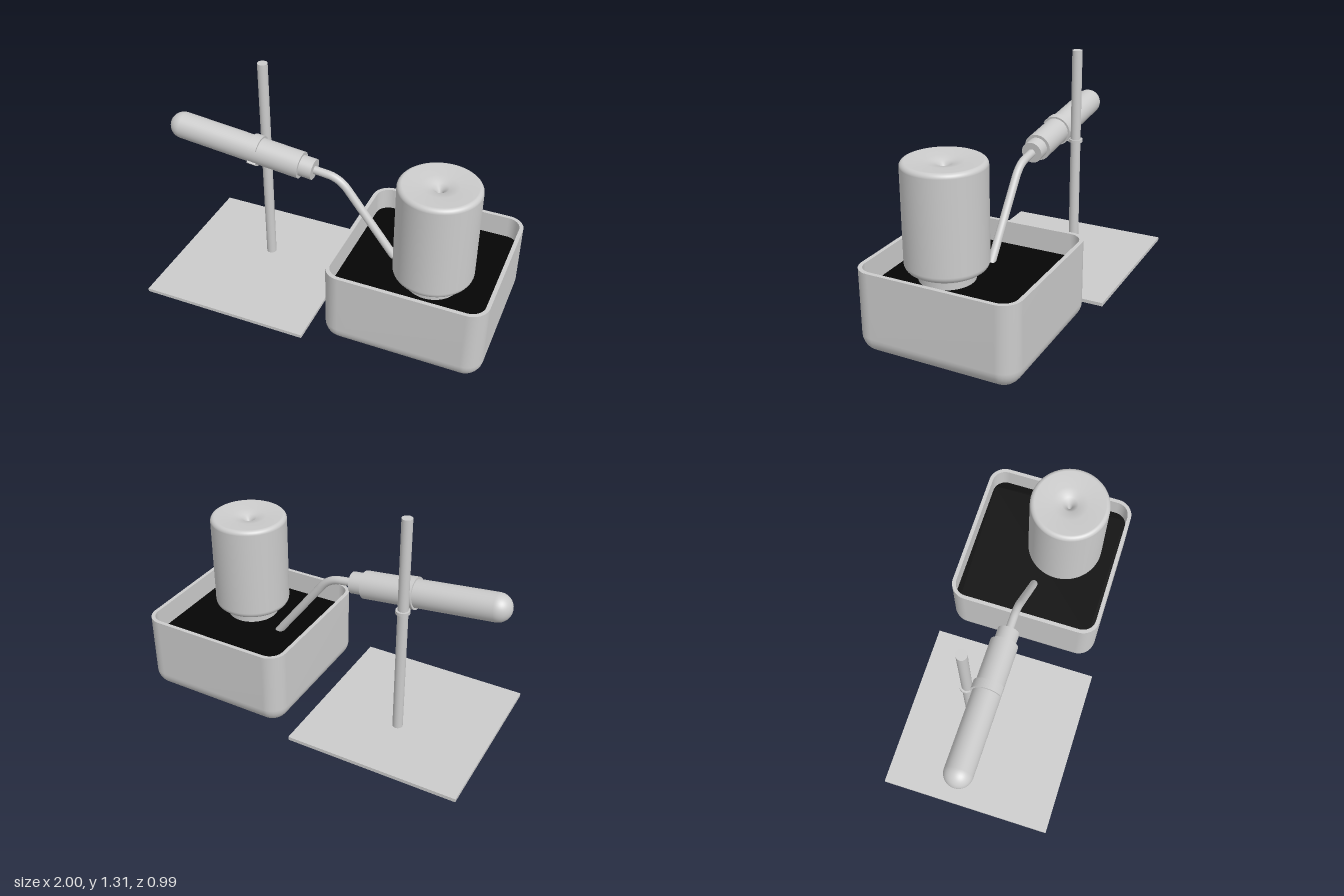
import * as THREE from 'three';

const grey = new THREE.MeshStandardMaterial({ color: 0xcccccc });
const greyDouble = new THREE.MeshStandardMaterial({ color: 0xcccccc, side: THREE.DoubleSide });
const black = new THREE.MeshStandardMaterial({ color: 0x050505 });

function add(parent, name, geometry, x = 0, y = 0, z = 0, material = grey) {
  const mesh = new THREE.Mesh(geometry, material);
  mesh.name = name;
  mesh.position.set(x, y, z);
  parent.add(mesh);
  return mesh;
}

const lathe = (pts, segments = 48) =>
  new THREE.LatheGeometry(pts.map(([r, y]) => new THREE.Vector2(r, y)), segments);

// Quarter or longer arc as [r, y] points
function arc(cx, cy, radius, from, to, steps = 8) {
  return Array.from({ length: steps + 1 }, (_, i) => {
    const a = from + (to - from) * i / steps;
    return [cx + radius * Math.cos(a), cy + radius * Math.sin(a)];
  });
}

// Outline of a square with rounded corners, shrunk by an inset
function roundedSquare(half, corner, inset, steps = 8) {
  const r = Math.max(corner - inset, 0), c = half - inset - r;
  const pts = [];
  for (let q = 0; q < 4; q++) {
    const mid = (q + 0.5) * Math.PI / 2;
    const cx = Math.sign(Math.cos(mid)) * c, cz = Math.sign(Math.sin(mid)) * c;
    pts.push(...arc(cx, cz, r, q * Math.PI / 2, (q + 1) * Math.PI / 2, steps));
  }
  return pts;
}

// Skin over rounded-square rings given as [inset, y]
function loftTrough(half, corner, sections) {
  const pos = [], index = [];
  let n = 0;
  for (const [inset, y] of sections) {
    const ring = roundedSquare(half, corner, inset);
    n = ring.length;
    for (const [x, z] of ring) pos.push(x, y, z);
  }
  for (let s = 0; s < sections.length - 1; s++) {
    for (let i = 0; i < n; i++) {
      const a = s * n + i, b = s * n + (i + 1) % n;
      index.push(a, a + n, b, b, a + n, b + n);
    }
  }
  const g = new THREE.BufferGeometry();
  g.setAttribute('position', new THREE.Float32BufferAttribute(pos, 3));
  g.setIndex(index);
  g.computeVertexNormals();
  return g;
}

// Flat band following part of a circle, extruded along z and centred
function band(inner, outer, from, to, width) {
  const s = new THREE.Shape();
  s.absarc(0, 0, outer, from, to, false);
  s.absarc(0, 0, inner, to, from, true);
  const g = new THREE.ExtrudeGeometry(s, { depth: width, bevelEnabled: false, curveSegments: 32 });
  return g.translate(0, 0, -width / 2);
}

export function createModel() {
  const model = new THREE.Group();
  model.name = 'gasCollectionApparatus';
  const PI = Math.PI;

  // Stand
  const stand = new THREE.Group();
  stand.name = 'stand';
  model.add(stand);
  add(stand, 'basePlate', new THREE.BoxGeometry(0.985, 0.02, 0.99), -0.4775, 0.015, -0.003);
  add(stand, 'rod', new THREE.CylinderGeometry(0.029, 0.029, 1.29, 32), -0.465, 0.665, -0.116);

  // Tilted test tube with stopper
  const tilted = new THREE.Group();
  tilted.name = 'testTubeAssembly';
  tilted.position.set(-0.465, 0.8275, 0);
  tilted.rotation.z = -0.111;
  model.add(tilted);
  const tube = lathe([...arc(0, -0.463, 0.077, -PI / 2, 0, 12), [0.077, 0.278]]);
  add(tilted, 'testTube', tube.rotateZ(-PI / 2));
  add(tilted, 'testTubeMouth', new THREE.CircleGeometry(0.077, 48).rotateY(PI / 2), 0.278);
  add(tilted, 'stopper', new THREE.CylinderGeometry(0.06, 0.06, 0.13, 40).rotateZ(PI / 2), 0.289);

  // Clamp: open jaw round the tube, collar round the rod
  const jaw = band(0.075, 0.088, 0.5, 2 * PI - 0.62, 0.052).rotateY(-PI / 2);
  add(tilted, 'clampJaw', jaw);
  const collar = band(0.027, 0.039, 0, 2 * PI, 0.018).rotateX(PI / 2);
  add(stand, 'clampCollar', collar, -0.465, 0.777, -0.118);
  add(stand, 'clampArm', new THREE.BoxGeometry(0.03, 0.018, 0.03), -0.465, 0.777, -0.077);

  // Bent delivery tube running into the water
  const v = (x, y) => new THREE.Vector3(x, y, 0);
  const path = new THREE.CurvePath();
  path.add(new THREE.LineCurve3(v(-0.2, 0.797), v(-0.03, 0.777)));
  path.add(new THREE.QuadraticBezierCurve3(v(-0.03, 0.777), v(0.04, 0.768), v(0.09, 0.699)));
  path.add(new THREE.LineCurve3(v(0.09, 0.699), v(0.376, 0.32)));
  add(model, 'deliveryTube', new THREE.TubeGeometry(path, 60, 0.023, 20), 0, 0, 0, greyDouble);

  // Trough: outside, rim, inside
  const trough = new THREE.Group();
  trough.name = 'trough';
  trough.position.set(0.554, 0, -0.001);
  model.add(trough);
  const half = 0.446, corner = 0.1, wall = 0.022, rim = 0.46;
  const outside = arc(0.1, 0.1, 0.1, -PI / 2, -PI).map(([i, y]) => [i, y]);
  const inside = arc(0.1, 0.1, 0.1 - wall, -PI, -PI / 2);
  add(trough, 'troughShell', loftTrough(half, corner, [
    [half, 0], ...outside, [0, rim], [0, rim], [wall, rim], [wall, rim], ...inside, [half, wall],
  ]));

  // Water surface
  const waterShape = new THREE.Shape(
    roundedSquare(half, corner, wall).map(([x, z]) => new THREE.Vector2(x, z)));
  add(trough, 'water', new THREE.ShapeGeometry(waterShape).rotateX(-PI / 2), 0, 0.33, 0, black);

  // Inverted collecting jar with a dimpled base on top
  add(model, 'collectingJar', lathe([
    [0.15, 0.25], [0.15, 0.365], [0.156, 0.382], [0.17, 0.39],
    ...arc(0.18, 0.43, 0.04, -PI / 2, 0),
    ...arc(0.195, 0.94, 0.025, 0, PI / 2),
    [0.1, 0.957], [0.045, 0.947], [0.015, 0.92], [0, 0.86],
  ], 64), 0.63, 0, 0.115, greyDouble);

  return model;
}
